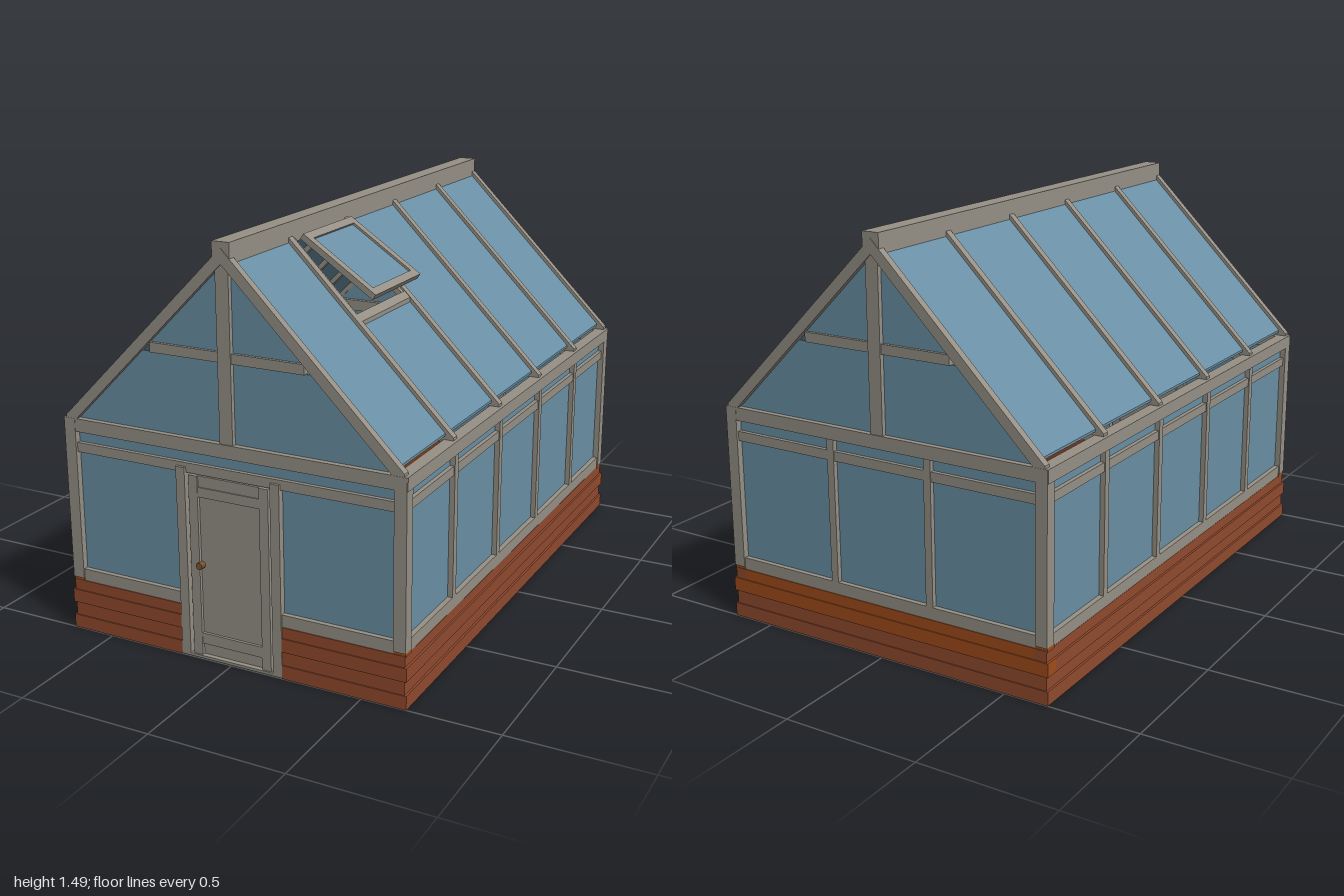
import * as THREE from 'three';

const material = (name, color, side = THREE.FrontSide) => {
  const m = new THREE.MeshStandardMaterial({ color, side });
  m.name = name;
  return m;
};

export function createModel() {
  const frame = material('grey timber', 0x969086);
  const glass = material('blue glass', 0x6a90a5, THREE.DoubleSide);
  const brick = material('red brick', 0x914a2e);
  const clay = material('orange clay', 0xa04d1c);
  const earth = material('brown floor', 0x80664f);
  const brass = material('door brass', 0x7a5530);

  const root = new THREE.Group();
  root.name = 'greenhouse';
  const group = (name, parent = root) => {
    const g = new THREE.Group();
    g.name = name;
    parent.add(g);
    return g;
  };
  const add = (parent, name, geo, mat) => {
    const m = new THREE.Mesh(geo, mat);
    m.name = name;
    parent.add(m);
    return m;
  };
  // Box given by its limits on each axis
  const box = (parent, name, mat, x0, x1, y0, y1, z0, z1) => {
    const m = add(parent, name, new THREE.BoxGeometry(x1 - x0, y1 - y0, z1 - z0), mat);
    m.position.set((x0 + x1) / 2, (y0 + y1) / 2, (z0 + z1) / 2);
    return m;
  };
  // Outline in x and y, extruded from z0 to z1
  const prism = (parent, name, mat, points, z0, z1) => {
    const shape = new THREE.Shape(points.map(p => new THREE.Vector2(...p)));
    const geo = new THREE.ExtrudeGeometry(shape, { depth: z1 - z0, bevelEnabled: false });
    geo.translate(0, 0, z0);
    return add(parent, name, geo, mat);
  };

  // Brick base: courses lapped at the corners
  const base = group('base');
  const courseTop = [0.05, 0.1, 0.15, 0.19];
  courseTop.forEach((y1, i) => {
    const y0 = i ? courseTop[i - 1] : 0;
    const through = i % 2 === 0;
    const X = through ? 0.665 : 0.657, Z = through ? 1 : 0.996;
    const endX = through ? X : 0.615, sideZ = through ? 0.95 : Z;
    for (const s of [-1, 1]) {
      const xs = [s * 0.61, s * X].sort((a, b) => a - b);
      box(base, 'sideCourse', brick, ...xs, y0, y1, -sideZ, sideZ);
      const front = [s * 0.2, s * endX].sort((a, b) => a - b);
      box(base, 'frontCourse', brick, ...front, y0, y1, 0.95, Z);
    }
    box(base, 'backCourse', i >= 2 ? clay : brick, -endX, endX, y0, y1, -Z, -0.95);
  });
  for (const s of [-1, 1]) {
    for (const t of [-1, 1]) {
      const c = box(base, 'cornerCap', clay, -0.022, 0.022, 0.185, 0.2, -0.022, 0.022);
      c.position.x = s * 0.637;
      c.position.z = t * 0.972;
    }
    const liner = box(base, 'sideLiner', clay, -0.004, 0.004, 0.01, 0.19, -0.95, 0.95);
    liner.position.x = s * 0.607;
  }
  box(base, 'backLiner', clay, -0.61, 0.61, 0.01, 0.19, -0.95, -0.944);
  box(base, 'floor', earth, -0.64, 0.64, 0.002, 0.012, -0.98, 0.98);

  // Corner posts
  const walls = group('walls');
  for (const s of [-1, 1]) for (const t of [-1, 1]) {
    const p = box(walls, 'cornerPost', frame, -0.0225, 0.0225, 0.2, 0.805, -0.0225, 0.0225);
    p.position.x = s * 0.6375;
    p.position.z = t * 0.9755;
  }

  // Side walls, built on +x and turned for the other side
  for (const turn of [0, Math.PI]) {
    const side = group('sideWall', walls);
    side.rotation.y = turn;
    box(side, 'sill', frame, 0.615, 0.656, 0.188, 0.235, -0.95, 0.95);
    box(side, 'rail', frame, 0.62, 0.652, 0.682, 0.715, -0.95, 0.95);
    box(side, 'eavesBeam', frame, 0.615, 0.662, 0.757, 0.805, -0.995, 0.995);
    box(side, 'sideGlass', glass, 0.631, 0.637, 0.23, 0.76, -0.96, 0.96);
    for (const z of [-0.6, -0.2, 0.2, 0.6])
      box(side, 'sidePost', frame, 0.615, 0.656, 0.23, 0.76, z - 0.014, z + 0.014);
  }

  // End walls and gables, built at +z and turned for the back
  for (const turn of [0, Math.PI]) {
    const isFront = turn === 0;
    const end = group(isFront ? 'frontWall' : 'backWall', walls);
    end.rotation.y = turn;
    box(end, 'rail', frame, -0.62, 0.62, 0.68, 0.715, 0.955, 0.99);
    box(end, 'tieBeam', frame, -0.655, 0.655, 0.757, 0.805, 0.95, 0.997);
    box(end, 'stripGlass', glass, -0.62, 0.62, 0.71, 0.76, 0.969, 0.975);
    for (const s of [-1, 1]) {
      const sill = box(end, 'sill', frame, -0.215, 0.215, 0.188, 0.235, 0.953, 0.993);
      sill.position.x = s * 0.4;
      const pane = box(end, 'wallGlass', glass, -0.22, 0.22, 0.23, 0.685, 0.969, 0.975);
      pane.position.x = s * 0.4;
      const w = isFront ? 0.0175 : 0.014;
      const post = box(end, 'post', frame, -w, w, isFront ? 0.01 : 0.23, isFront ? 0.7 : 0.76, 0.95, isFront ? 1 : 0.993);
      post.position.x = s * (isFront ? 0.183 : 0.2);
    }
    if (!isFront) {
      box(end, 'middleSill', frame, -0.19, 0.19, 0.188, 0.235, 0.953, 0.993);
      box(end, 'middleGlass', glass, -0.19, 0.19, 0.23, 0.685, 0.969, 0.975);
    }
    box(end, 'kingPost', frame, -0.025, 0.025, 0.8, 1.42, 0.955, 0.993);
    box(end, 'collarBeam', frame, -0.293, 0.293, 1.083, 1.118, 0.96, 0.988);
    prism(end, 'lowerGableGlass', glass, [[-0.615, 0.803], [0.615, 0.803], [0.335, 1.083], [-0.335, 1.083]], 0.97, 0.976);
    prism(end, 'upperGableGlass', glass, [[-0.3, 1.118], [0.3, 1.118], [0, 1.418]], 0.97, 0.976);
  }

  // Door with raised stiles, rails and recessed panels
  const door = group('door');
  box(door, 'doorPanel', frame, -0.125, 0.125, 0.012, 0.675, 0.962, 0.982);
  for (const s of [-1, 1]) {
    const stile = box(door, 'doorStile', frame, -0.0175, 0.0175, 0.012, 0.675, 0.958, 0.994);
    stile.position.x = s * 0.1375;
  }
  for (const [y0, y1] of [[0.055, 0.095], [0.6, 0.635]])
    box(door, 'doorRail', frame, -0.12, 0.12, y0, y1, 0.958, 0.992);
  box(door, 'doorTop', frame, -0.12, 0.12, 0.635, 0.675, 0.958, 0.988);
  box(door, 'threshold', frame, -0.2, 0.2, 0.002, 0.012, 0.945, 1);
  const knob = add(door, 'doorKnob', new THREE.CylinderGeometry(0.013, 0.013, 0.024, 8), brass);
  knob.rotation.x = Math.PI / 2;
  knob.position.set(-0.117, 0.35, 0.992);

  // Roof slopes at 45 degrees: rafters and panes per bay
  const roof = group('roof');
  box(roof, 'ridgeBeam', frame, -0.033, 0.033, 1.41, 1.485, -0.995, 0.995);
  const rafterZ = [-0.983, -0.605, -0.2, 0.2, 0.605, 0.983];
  const pitch = (parent, name, mat, s, x0, x1, z0, z1, lift, t) => {
    const at = (x, d) => [s * x, 1.443 - x + d];
    const pts = [at(x0, lift), at(x1, lift), at(x1, lift - t), at(x0, lift - t)];
    return prism(parent, name, mat, pts, z0, z1);
  };
  for (const s of [-1, 1]) {
    rafterZ.forEach((z, i) => {
      pitch(roof, 'rafter', frame, s, 0, 0.65, z - 0.014, z + 0.014, 0.022, 0.053);
      if (i === 5) return;
      const vented = s > 0 && i === 3;
      pitch(roof, 'roofGlass', glass, s, vented ? 0.285 : 0.025, 0.62, z, rafterZ[i + 1], 0.004, 0.009);
    });
  }

  // Frame around the roof opening
  const vent = group('roofVent');
  pitch(vent, 'openingSill', frame, 1, 0.275, 0.297, 0.214, 0.591, 0.02, 0.04);
  for (const z of [0.222, 0.583])
    pitch(vent, 'openingSide', frame, 1, 0.03, 0.29, z - 0.009, z + 0.009, 0.012, 0.03);

  // Open sash hinged beside the ridge
  const sash = group('sash', vent);
  sash.position.set(0.06, 1.432, 0.4);
  sash.rotation.z = -Math.atan2(0.183, 0.275);
  const L = 0.33;
  for (const s of [-1, 1]) {
    const bar = box(sash, 'sashSide', frame, 0, L, -0.011, 0.011, -0.015, 0.015);
    bar.position.z = s * 0.163;
  }
  box(sash, 'sashTop', frame, 0, 0.03, -0.011, 0.011, -0.15, 0.15);
  box(sash, 'sashBottom', frame, L - 0.03, L, -0.011, 0.011, -0.15, 0.15);
  box(sash, 'sashGlass', glass, 0.028, L - 0.028, -0.003, 0.003, -0.15, 0.15);

  return root;
}
